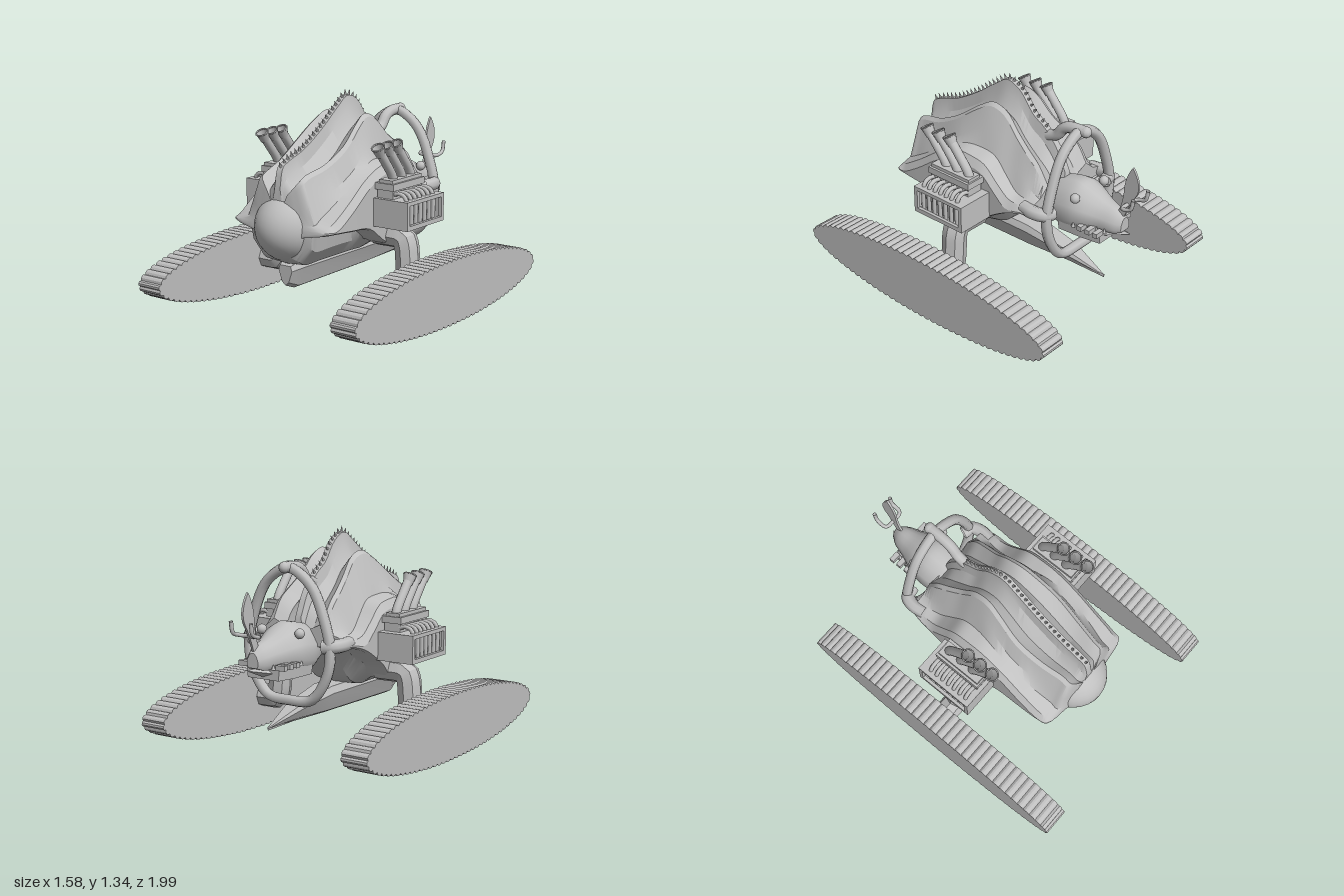
import * as THREE from 'three';
import { toCreasedNormals } from 'three/addons/utils/BufferGeometryUtils.js';

const grey = new THREE.MeshStandardMaterial({ color: 0xc0c0c0, side: THREE.DoubleSide });
grey.name = 'light grey';

const V = (x, y, z) => new THREE.Vector3(x, y, z);

// Half outline (bottom to top, x >= 0) mirrored into a closed ring
const mirrorRing = (half, z) => {
  const other = half.filter(p => p[0] > 0).reverse().map(([x, y]) => [-x, y]);
  return [...half, ...other].map(([x, y]) => V(x, y, z));
};

// Skin through rings ordered by rising z; steps > 0 smooths along the length
function loft(rings, steps = 0, crease = 0.6) {
  const n = rings[0].length;
  if (steps) {
    const rails = rings[0].map((_, k) => new THREE.CatmullRomCurve3(rings.map(r => r[k]), false, 'centripetal'));
    rings = Array.from({ length: steps + 1 }, (_, i) => rails.map(c => c.getPoint(i / steps)));
  }
  const pos = [];
  const tri = (...ps) => ps.forEach(p => pos.push(p.x, p.y, p.z));
  for (let i = 0; i < rings.length - 1; i++) {
    for (let k = 0; k < n; k++) {
      const a = rings[i][k], b = rings[i][(k + 1) % n];
      const c = rings[i + 1][(k + 1) % n], d = rings[i + 1][k];
      tri(a, b, c);
      tri(a, c, d);
    }
  }
  [rings[0], rings[rings.length - 1]].forEach((r, end) => {
    const mid = r.reduce((s, p) => s.add(p), V(0, 0, 0)).divideScalar(n);
    for (let k = 0; k < n; k++) {
      const p = r[k], q = r[(k + 1) % n];
      end ? tri(mid, p, q) : tri(mid, q, p);
    }
  });
  const g = new THREE.BufferGeometry();
  g.setAttribute('position', new THREE.Float32BufferAttribute(pos, 3));
  return toCreasedNormals(g, crease);
}

const tube = (pts, r, sides = 10, segs = 20, closed = false, tension = 0.5) => new THREE.TubeGeometry(
  new THREE.CatmullRomCurve3(pts.map(p => V(...p)), closed, 'catmullrom', tension), segs, r, sides, closed);

export function createModel() {
  const model = new THREE.Group();
  const add = (name, geo, x = 0, y = 0, z = 0, parent = model) => {
    const m = new THREE.Mesh(geo, grey);
    m.name = name;
    m.position.set(x, y, z);
    parent.add(m);
    return m;
  };

  // Ridged shell with swept fenders: z, spine top, side ridge, shoulder, fender edge, belly, half width
  const rows = [
    [-0.45, 0.84, 0.82, 0.74, 0.69, 0.67, 0.35],
    [-0.38, 0.98, 0.93, 0.74, 0.68, 0.65, 0.365],
    [-0.29, 1.08, 1.00, 0.75, 0.65, 0.62, 0.37],
    [-0.2, 1.14, 1.07, 0.82, 0.6, 0.52, 0.37],
    [-0.1, 1.26, 1.17, 0.91, 0.53, 0.41, 0.37],
    [0, 1.3, 1.2, 0.93, 0.43, 0.37, 0.37],
    [0.1, 1.24, 1.15, 0.93, 0.46, 0.37, 0.37],
    [0.25, 1.13, 1.04, 0.87, 0.56, 0.37, 0.37],
    [0.42, 1.03, 0.95, 0.75, 0.58, 0.37, 0.37],
    [0.56, 0.98, 0.91, 0.66, 0.59, 0.37, 0.365],
    [0.615, 0.95, 0.88, 0.63, 0.59, 0.4, 0.35],
    [0.645, 0.83, 0.8, 0.62, 0.56, 0.43, 0.18],
  ];
  const shell = rows.map(([z, t, r, s, b, u, w]) => {
    const wave = 0.02 * Math.sin((z - 0.1) * 9) + 0.016;
    const k = Math.min(1, w / 0.34);
    return mirrorRing([
      [0, u], [0.13 * k, u + 0.01], [0.21 * k, Math.min(u + 0.1, b)], [0.23 * k, b], [w - 0.02, b], [w, b + 0.01],
      [w, Math.max(s - 0.06, b + 0.02)], [w - 0.03, s - 0.01], [(0.25 + wave) * k, s + 0.01],
      [(0.21 + wave) * k, Math.max(r - 0.14, s + 0.02)], [(0.165 + wave) * k, r - 0.02], [(0.14 + wave) * k, r],
      [(0.12 + wave) * k, r - 0.02], [(0.08 + wave / 2) * k, r - 0.07], [0.035, t - 0.08], [0.02, t], [0, t],
    ], z);
  });
  add('bodyShell', loft(shell, 44, 0.5));

  // Rounded nose
  add('nose', new THREE.SphereGeometry(1, 32, 20), 0, 0.588, 0.48).scale.set(0.227, 0.222, 0.267);

  // Row of spikes on the spine
  const spine = new THREE.CatmullRomCurve3(rows.slice(2, -1).map(r => V(0, r[1], r[0])));
  const spikes = new THREE.Group();
  spikes.name = 'spineSpikes';
  model.add(spikes);
  for (let i = 0; i < 30; i++) {
    const p = spine.getPointAt(i / 29), t = spine.getTangentAt(i / 29);
    const cone = add('spike', new THREE.ConeGeometry(0.014, 0.05, 5), 0, p.y + 0.012, p.z, spikes);
    cone.quaternion.setFromUnitVectors(V(0, 1, 0), V(0, t.z, -t.y).normalize());
  }

  // Keel under the belly, pointed at the back
  const keel = [[-0.75, 0.225, 0.24, 0.004], [-0.5, 0.23, 0.33, 0.06], [-0.2, 0.22, 0.39, 0.08],
    [0.5, 0.21, 0.39, 0.08], [0.58, 0.24, 0.36, 0.05]];
  add('keel', loft(keel.map(([z, lo, hi, w]) => mirrorRing(
    [[0, lo], [w * 0.5, lo + 0.02], [w, hi - (hi - lo) * 0.25], [w * 0.8, hi], [0, hi]], z)), 0, 0.3));

  // Tall hoop at the back, with the strut that joins it to the spine
  const hoop = [[0, 1.145], [0.09, 1.11], [0.175, 1.03], [0.24, 0.89], [0.29, 0.7], [0.265, 0.53], [0.16, 0.385], [0, 0.365]];
  const left = hoop.slice(1, -1).reverse().map(([x, y]) => [-x, y]);
  add('hoop', tube([...hoop, ...left].map(([x, y]) => [x, y, -0.54]), 0.032, 8, 64, true));
  add('hoopStrut', tube([[0, 1.03, -0.3], [0, 1.06, -0.37], [0, 1.12, -0.42], [0, 1.145, -0.49], [0, 1.15, -0.59]], 0.034));
  add('hoopKnob', new THREE.SphereGeometry(0.034, 12, 8), 0, 1.15, -0.58);

  // Beast head
  const head = [[-0.885, 0.04, 0.70, 0.615], [-0.84, 0.07, 0.735, 0.6], [-0.75, 0.1, 0.765, 0.6],
    [-0.65, 0.145, 0.81, 0.59], [-0.58, 0.16, 0.835, 0.57], [-0.48, 0.155, 0.82, 0.56], [-0.36, 0.12, 0.78, 0.6]];
  add('head', loft(head.map(([z, w, hi, lo]) => mirrorRing(
    [[0, lo], [w * 0.75, lo], [w, lo + (hi - lo) * 0.22], [w * 0.92, lo + (hi - lo) * 0.55],
      [w * 0.6, lo + (hi - lo) * 0.87], [w * 0.25, hi], [0, hi]], z)), 24, 0.8));
  const jaw = [[-0.79, 0.115, 0.535, 0.605], [-0.65, 0.13, 0.53, 0.605], [-0.5, 0.14, 0.53, 0.6]];
  add('jaw', loft(jaw.map(([z, w, lo, hi]) => mirrorRing([[0, lo], [w * 0.95, lo], [w, hi], [0, hi]], z)), 0, 0.3));
  add('chinSpike', loft([
    mirrorRing([[0, 0.6], [0.004, 0.604], [0, 0.61]], -0.92),
    mirrorRing([[0, 0.54], [0.08, 0.57], [0, 0.61]], -0.77)], 0, 0.3));

  // Leaf blade on the snout
  const leaf = new THREE.Shape();
  leaf.moveTo(0.83, 0.72);
  leaf.quadraticCurveTo(0.86, 0.77, 0.87, 0.86);
  leaf.quadraticCurveTo(0.87, 0.97, 0.925, 1.05);
  leaf.quadraticCurveTo(1.0, 0.95, 0.955, 0.87);
  leaf.quadraticCurveTo(0.92, 0.82, 0.88, 0.71);
  const blade = new THREE.ExtrudeGeometry(leaf, { depth: 0.014, bevelEnabled: false, curveSegments: 8 });
  add('snoutBlade', blade.rotateY(Math.PI / 2), -0.007);

  // Track outline with evenly spaced, overlapping tread plates
  const trackGeo = rz => {
    const oval = new THREE.EllipseCurve(0, 0, rz, 0.2);
    oval.arcLengthDivisions = 1000;
    const pts = oval.getSpacedPoints(80 * 4).slice(0, -1);
    pts.forEach((p, i) => p.sub(
      new THREE.Vector2(p.x / rz ** 2, p.y / 0.04).setLength([0.003, 0.013, 0.002, 0][i % 4])));
    return new THREE.ExtrudeGeometry(new THREE.Shape(pts), { depth: 0.17, bevelEnabled: false }).rotateY(Math.PI / 2);
  };

  // Window frame on the outside of the engine box
  const frame = new THREE.Shape([[-0.19, -0.085], [0.19, -0.085], [0.19, 0.085], [-0.19, 0.085]].map(p => new THREE.Vector2(...p)));
  frame.holes.push(new THREE.Path([[-0.165, -0.058], [-0.165, 0.062], [0.165, 0.062], [0.165, -0.058]].map(p => new THREE.Vector2(...p))));
  const frameGeo = new THREE.ExtrudeGeometry(frame, { depth: 0.02, bevelEnabled: false }).rotateY(Math.PI / 2);

  for (const s of [1, -1]) {
    const side = new THREE.Group();
    side.name = s > 0 ? 'leftSide' : 'rightSide';
    model.add(side);
    const put = (name, geo, x = 0, y = 0, z = 0) => add(name, geo, x * s, y, z, side);
    const pipe = (name, pts, ...rest) => put(name, tube(pts.map(([x, y, z]) => [x * s, y, z]), ...rest));
    const box = (name, x0, x1, y0, y1, z0, z1) => put(name, new THREE.BoxGeometry(x1 - x0, y1 - y0, z1 - z0),
      (x0 + x1) / 2, (y0 + y1) / 2, (z0 + z1) / 2);

    add('track', trackGeo(s > 0 ? 0.955 : 0.96), s > 0 ? 0.62 : -0.79, 0.2, s > 0 ? 0.005 : 0.04, side);

    // Bent leg
    put('leg', toCreasedNormals(tube([[0.26, 0.49, 0.02], [0.4, 0.492, 0.02], [0.455, 0.485, 0.02], [0.475, 0.43, 0.02],
      [0.488, 0.27, 0.02], [0.51, 0.21, 0.02], [0.56, 0.207, 0.02], [0.64, 0.207, 0.02]]
      .map(([x, y, z]) => [x * s, y, z]), 0.075, 8, 24, false, 0.3), 0.5));

    // Fender horn running into the hoop
    pipe('fenderHorn', [[0.31, 0.712, -0.38], [0.32, 0.712, -0.46], [0.3, 0.71, -0.525], [0.24, 0.705, -0.545]], 0.042, 8, 14);

    // Engine box with its window
    box('engineBox', 0.34, 0.555, 0.58, 0.75, -0.165, 0.215);
    box('engineBoxTop', 0.555, 0.595, 0.735, 0.75, -0.165, 0.215);
    box('engineBoxBase', 0.555, 0.595, 0.58, 0.595, -0.165, 0.215);
    for (const z of [-0.158, 0.208]) box('engineBoxEnd', 0.555, 0.595, 0.58, 0.75, z - 0.007, z + 0.007);
    add('engineWindow', frameGeo, s > 0 ? 0.59 : -0.61, 0.665, 0.025, side);
    box('cylinderBlock', 0.38, 0.49, 0.75, 0.8, -0.11, 0.19);
    box('cylinderHead', 0.37, 0.5, 0.8, 0.84, -0.12, 0.2);
    box('stackBase', 0.39, 0.485, 0.84, 0.86, -0.11, 0.19);

    // Header pipes curving down behind the window
    for (let i = 0; i < 7; i++) {
      const z = -0.1 + i * 0.045;
      pipe('headerPipe', [[0.48, 0.775, z], [0.52, 0.785, z], [0.56, 0.77, z], [0.577, 0.72, z], [0.577, 0.59, z]], 0.013, 8, 14);
    }

    // Three leaning exhaust stacks with flared mouths
    for (const z of [0.08, 0.17, 0.26]) {
      pipe('exhaustStack', [[0.435, 0.84, z - 0.155], [0.435, 0.89, z - 0.13], [0.435, 0.965, z - 0.07], [0.435, 1.025, z - 0.02]], 0.028, 12, 14);
      const mouth = put('exhaustMouth', new THREE.CylinderGeometry(0.041, 0.027, 0.065, 14, 1, true), 0.435, 1.036, z - 0.01);
      mouth.rotation.x = 0.5;
      const lip = put('exhaustLip', new THREE.TorusGeometry(0.038, 0.005, 6, 14), 0.435, 1.062, z + 0.005);
      lip.rotation.x = Math.PI / 2 + 0.5;
    }

    // Eye, teeth and snout hook
    put('eye', new THREE.SphereGeometry(0.03, 14, 10), 0.135, 0.785, -0.62);
    for (let i = 0; i < 5; i++) {
      put('tooth', new THREE.ConeGeometry(0.016, 0.035, 4), 0.146 - i * 0.016, 0.618, -0.62 - i * 0.045);
    }
    for (const z of [-0.675, -0.735, -0.79]) box('gumBlock', 0.1, 0.163, 0.6, 0.63, z - 0.016, z + 0.016);
    pipe('snoutHook', [[0, 0.8, -0.9], [0.05, 0.8, -0.9], [0.07, 0.805, -0.92], [0.07, 0.825, -0.97], [0.07, 0.89, -0.985]], 0.012, 8, 16);
  }
  return model;
}
